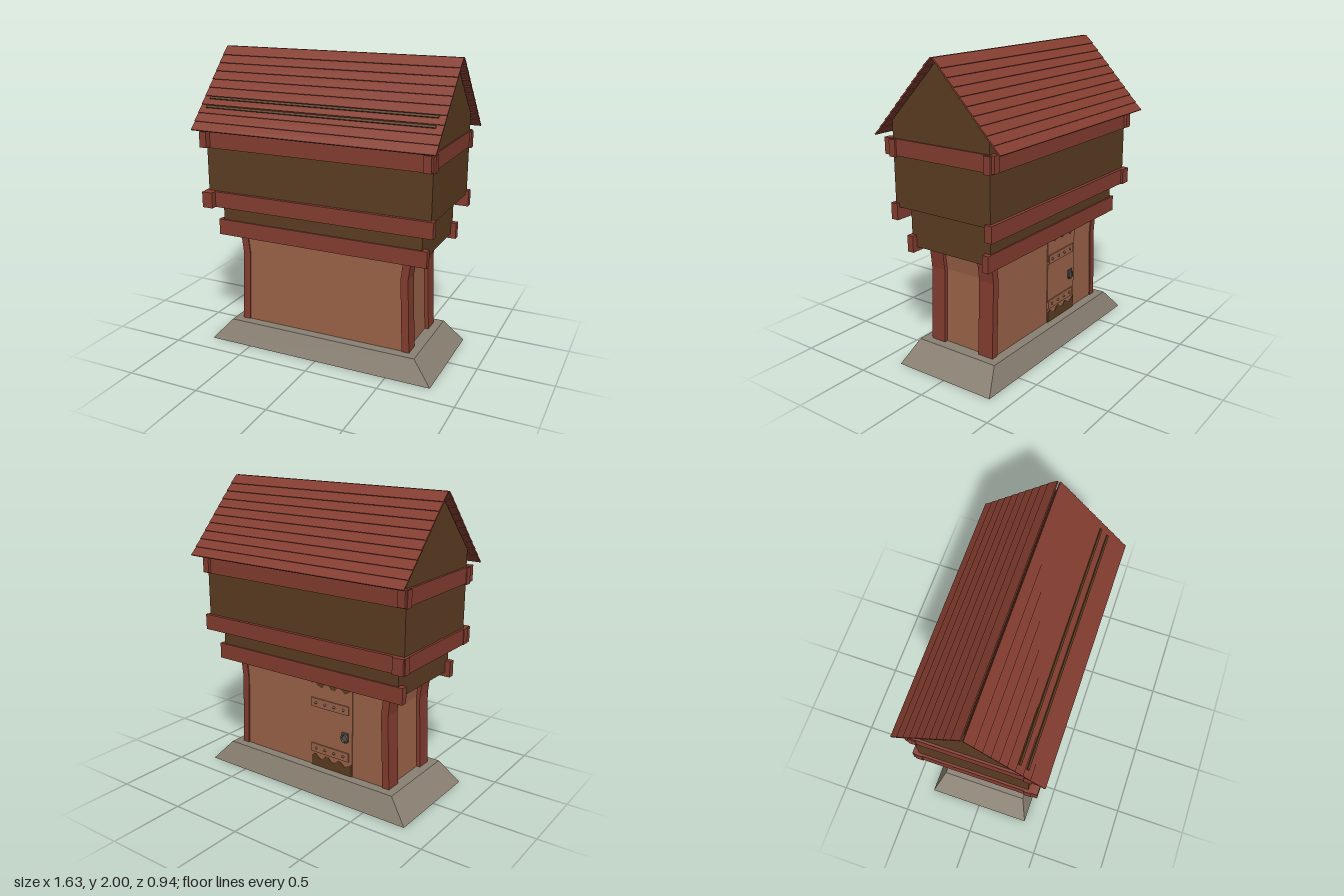
import * as THREE from 'three';

const mat = (name, color, extra = {}) => {
  const m = new THREE.MeshStandardMaterial({ color, ...extra });
  m.name = name;
  return m;
};

export function createModel() {
  const red = mat('red timber', 0x853d30);
  const plaster = mat('clay plaster', 0x9c6449);
  const brown = mat('brown boards', 0x5c3d22);
  const stone = mat('stone', 0x8a8073, { side: THREE.DoubleSide });
  const iron = mat('iron', 0x5a5450);

  const model = new THREE.Group();
  model.name = 'grainStore';

  const add = (name, geo, material, parent = model) => {
    const mesh = new THREE.Mesh(geo, material);
    mesh.name = name;
    parent.add(mesh);
    return mesh;
  };
  // Box given by its min and max on each axis
  const block = (name, material, [x0, x1], [y0, y1], [z0, z1], parent) => {
    const m = add(name, new THREE.BoxGeometry(x1 - x0, y1 - y0, z1 - z0), material, parent);
    m.position.set((x0 + x1) / 2, (y0 + y1) / 2, (z0 + z1) / 2);
    return m;
  };
  // Outline in x and y, extruded from z0 to z1
  const slab = (name, material, pts, z0, z1, parent) => {
    const shape = new THREE.Shape(pts.map(p => new THREE.Vector2(...p)));
    const geo = new THREE.ExtrudeGeometry(shape, { depth: z1 - z0, bevelEnabled: false });
    geo.translate(0, 0, z0);
    return add(name, geo, material, parent);
  };

  // Sloped stone footing: rectangular rings joined into a skirt
  const rings = [[0.8, 0.362, 0], [0.67, 0.302, 0.145], [0.57, 0.23, 0.145]];
  const pos = [], idx = [];
  for (const [x, z, y] of rings) pos.push(-x, y, z, x, y, z, x, y, -z, -x, y, -z);
  for (let r = 0; r < rings.length - 1; r++) {
    for (let i = 0; i < 4; i++) {
      const a = r * 4 + i, b = r * 4 + (i + 1) % 4;
      idx.push(a, b, b + 4, a, b + 4, a + 4);
    }
  }
  let skirt = new THREE.BufferGeometry();
  skirt.setAttribute('position', new THREE.Float32BufferAttribute(pos, 3));
  skirt.setIndex(idx);
  skirt = skirt.toNonIndexed();
  skirt.computeVertexNormals();
  add('footing', skirt, stone);

  // Waisted plaster walls
  slab('plasterWalls', plaster, [
    [-0.595, 0.02], [0.595, 0.02], [0.57, 0.64], [0.59, 0.8],
    [-0.59, 0.8], [-0.57, 0.64],
  ], -0.237, 0.237);

  // Bent corner posts
  const outer = [[0.62, 0.02], [0.595, 0.64], [0.613, 0.79]];
  for (const s of [-1, 1]) {
    const pts = [...outer, ...outer.map(([x, y]) => [x - 0.05, y]).reverse()]
      .map(([x, y]) => [x * s, y]);
    slab('cornerPost', red, pts, 0.14, 0.245);
    slab('cornerPost', red, pts, -0.245, -0.135);
  }
  block('floor', brown, [-0.6, 0.6], [0.012, 0.02], [-0.24, 0.24]);

  // Overhanging boarded storeys and the gable
  block('lowerStorey', brown, [-0.7, 0.7], [0.8, 1.065], [-0.305, 0.305]);
  const gable = slab('upperStorey', brown, [
    [-0.362, 1.065], [0.362, 1.065], [0.362, 1.6], [0, 1.975], [-0.362, 1.6],
  ], -0.77, 0.77);
  gable.rotation.y = Math.PI / 2;

  // Timber belts
  for (const s of [-1, 1]) {
    const zr = (a, b) => (s > 0 ? [a, b] : [-b, -a]);
    block('lowBeam', red, [-0.735, 0.735], [0.77, 0.877], zr(0.27, 0.315));
    block('middleBeam', red, [-0.79, 0.79], [0.985, 1.09], zr(0.335, 0.385));
    block('eaveBeam', red, [-0.79, 0.79], [1.38, 1.487], zr(0.332, 0.38));
    block('eaveCrossBeam', red, s > 0 ? [0.73, 0.778] : [-0.785, -0.735], [1.388, 1.492], [-0.4, 0.425]);
  }
  block('middleCrossBeam', red, [-0.785, -0.71], [0.985, 1.09], [-0.4, 0.425]);

  // Overlapping roof boards on both slopes
  const roof = new THREE.Group();
  roof.name = 'roof';
  model.add(roof);
  const rows = 10, z0 = 0.012, y0 = 1.992, run = 0.448, drop = 0.48;
  const angle = Math.atan2(drop, run);
  for (const s of [-1, 1]) {
    for (let i = 0; i < rows; i++) {
      const t = (i + 0.5) / rows;
      const board = add('roofBoard', new THREE.BoxGeometry(1.63, 0.009, 0.077), red, roof);
      board.position.set(0, y0 - drop * t - 0.002, s * (z0 + run * t));
      board.rotation.x = s * (angle - 0.08);
    }
  }
  // Gaps showing the boards beneath on the front slope
  for (const y of [1.638, 1.688]) {
    const gap = add('roofGap', new THREE.BoxGeometry(1.54, 0.008, 0.016), brown, roof);
    gap.position.set(0, y + 0.005, z0 + run * (y0 - y) / drop + 0.005);
    gap.rotation.x = angle;
  }

  // Back door with worn ends, straps, rivets and latch
  const door = new THREE.Group();
  door.name = 'backDoor';
  model.add(door);
  block('doorPanel', plaster, [-0.33, 0], [0.145, 0.78], [-0.243, -0.236], door);
  const worn = (edge, base, sign) => {
    const pts = [[-0.325, base], [-0.005, base]];
    for (let i = 0; i <= 12; i++) {
      pts.push([-0.005 - 0.32 * i / 12, edge + sign * 0.018 * Math.sin(i * 1.7)]);
    }
    slab('wornPatch', brown, pts, -0.246, -0.242, door);
  };
  worn(0.215, 0.145, 1);
  worn(0.725, 0.78, 1);
  for (const y of [0.275, 0.6]) {
    block('hingeStrap', plaster, [-0.305, -0.005], [y - 0.03, y + 0.03], [-0.251, -0.243], door);
    for (let i = 0; i < 4; i++) {
      const rivet = add('rivet', new THREE.SphereGeometry(0.009, 8, 6), iron, door);
      rivet.position.set(-0.045 - i * 0.073, y, -0.251);
    }
  }
  block('latchPlate', iron, [-0.3, -0.25], [0.385, 0.445], [-0.25, -0.243], door);
  const ring = add('latchRing', new THREE.TorusGeometry(0.026, 0.006, 6, 16), iron, door);
  ring.position.set(-0.275, 0.405, -0.252);

  return model;
}
